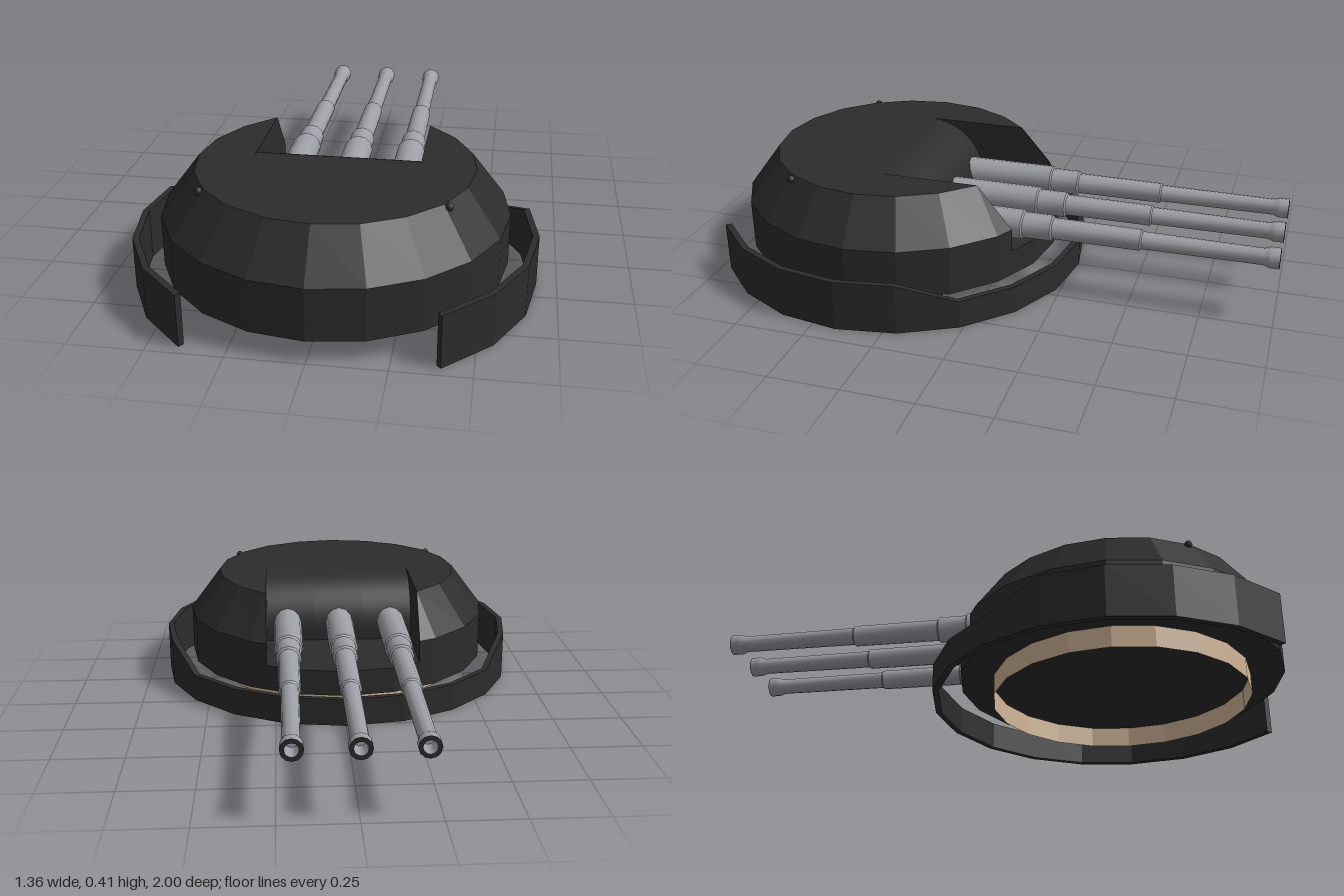
import * as THREE from 'three';
import { toCreasedNormals } from 'three/addons/utils/BufferGeometryUtils.js';

const SIDES = 20, CZ = 0.413;             // facets and axis of the turret
const BAY = 0.28, FLOOR = 0.17, BACK = 0.41; // gun bay half width, floor, rear edge
const SHOULDER = 0.253, ROOF = 0.406, R = 0.583, R_ROOF = 0.467;

const armour = new THREE.MeshStandardMaterial({ color: 0x2c2c2c, side: THREE.DoubleSide });
armour.name = 'dark armour';
const steel = new THREE.MeshStandardMaterial({ color: 0x9c9fa5 });
steel.name = 'gun steel';
const tan = new THREE.MeshStandardMaterial({ color: 0xd2b698, side: THREE.DoubleSide });
tan.name = 'tan ring';

// Point k of a 20-sided ring, counted from the gun side (-z) towards +x
function ringPoint(k, r, y) {
  const a = (k / SIDES) * Math.PI * 2;
  return [r * Math.sin(a), y, CZ - r * Math.cos(a)];
}

// Joins neighbouring cross-sections with flat quads
function loft(sections, closed, caps) {
  const pos = [];
  const quad = (a, b, c, d) => pos.push(...a, ...b, ...c, ...a, ...c, ...d);
  for (let i = 0; i < sections.length - 1; i++) {
    const s = sections[i], t = sections[i + 1];
    const n = closed ? s.length : s.length - 1;
    for (let j = 0; j < n; j++) {
      const m = (j + 1) % s.length;
      quad(s[j], s[m], t[m], t[j]);
    }
  }
  if (caps) {
    const e = sections[sections.length - 1];
    quad(...[...sections[0]].reverse());
    quad(...e);
  }
  const g = new THREE.BufferGeometry();
  g.setAttribute('position', new THREE.Float32BufferAttribute(pos, 3));
  g.computeVertexNormals();
  return g;
}

function flat(g) {
  const f = g.toNonIndexed();
  f.computeVertexNormals();
  return f;
}

// Outline of the turret at one height, interrupted by the gun bay
function bayOutline(r, y) {
  const a = ringPoint(1, r, y), b = ringPoint(2, r, y);
  const t = Math.min(1, (BAY - a[0]) / (b[0] - a[0]));
  const edgeZ = a[2] + (b[2] - a[2]) * t;
  const pts = [[BAY, y, edgeZ]];
  for (let k = 2; k <= 18; k++) {
    const p = ringPoint(k, r, y);
    if (k === 2 || k === 18) p[0] = Math.sign(p[0]) * Math.max(Math.abs(p[0]), BAY);
    pts.push(p);
  }
  pts.push([-BAY, y, edgeZ]);
  return pts;
}

export function createModel() {
  const model = new THREE.Group();
  const add = (name, geometry, material, parent = model) => {
    const mesh = new THREE.Mesh(geometry, material);
    mesh.name = name;
    parent.add(mesh);
    return mesh;
  };

  // Open base ring
  add('baseRing', flat(new THREE.CylinderGeometry(0.463, 0.463, 0.078, SIDES, 1, true)), tan)
    .position.set(0, 0.039, CZ);

  // Full drum under the gun bay; its top is the bay floor
  add('lowerDrum', flat(new THREE.CylinderGeometry(R, R, FLOOR - 0.076, SIDES)), armour)
    .position.set(0, (FLOOR + 0.076) / 2, CZ);

  // Upper walls and sloped shoulder, open at the bay
  const low = bayOutline(R, FLOOR), mid = bayOutline(R, SHOULDER), top = bayOutline(R_ROOF, ROOF);
  add('upperWalls', loft(low.map((p, i) => [p, mid[i], top[i]]), false), armour);

  // Roof plate with a notch for the bay
  const roof = new THREE.Shape(top.slice(1, -1).map(p => new THREE.Vector2(p[0], -p[2])));
  roof.lineTo(-BAY, -BACK);
  roof.lineTo(BAY, -BACK);
  roof.closePath();
  add('roof', new THREE.ShapeGeometry(roof).rotateX(-Math.PI / 2), armour).position.y = ROOF;

  // Side walls of the bay
  const cheek = new THREE.Shape([
    [BACK, FLOOR], [BACK, ROOF], [top[0][2], ROOF], [mid[0][2], SHOULDER], [low[0][2], FLOOR],
  ].map(p => new THREE.Vector2(...p)));
  for (const s of [1, -1]) {
    add('bayWall', new THREE.ShapeGeometry(cheek).rotateY(-Math.PI / 2), armour).position.x = s * BAY;
  }

  // Rounded gun hood profile (z, y)
  const hoodR = 0.215, hoodW = (2 * BAY) / 3;
  const hood = new THREE.Shape();
  hood.moveTo(BACK, FLOOR);
  hood.lineTo(BACK, ROOF);
  hood.absarc(BACK, ROOF - hoodR, hoodR, Math.PI / 2, Math.PI, false);
  hood.lineTo(BACK - hoodR, FLOOR);
  const hoodGeo = toCreasedNormals(new THREE.ExtrudeGeometry(hood,
    { depth: hoodW, bevelEnabled: false, curveSegments: 10 }).rotateY(-Math.PI / 2), 0.5);

  // Stepped barrel: radius, distance forward
  const profile = [[0.053, -0.23], [0.053, 0.11], [0.046, 0.115], [0.046, 0.215], [0.038, 0.22],
    [0.037, 0.53], [0.031, 0.535], [0.029, 0.945], [0.036, 0.965], [0.036, 0.998]];
  const lathe = pts => toCreasedNormals(new THREE.LatheGeometry(
    pts.map(p => new THREE.Vector2(...p)), 12).rotateX(-Math.PI / 2), 0.6);
  const barrelGeo = lathe(profile);
  const muzzleGeo = lathe([[0.036, 0.998], [0.036, 1], [0.022, 1]]);
  const boreGeo = lathe([[0.022, 1], [0.022, 0.93], [0, 0.93]]);
  for (const i of [-1, 0, 1]) {
    add('gunHood', hoodGeo, armour).position.x = i * hoodW + hoodW / 2;
    const gun = new THREE.Group();
    gun.name = 'gun';
    gun.position.set(i * 0.2, 0.239, 0);
    add('barrel', barrelGeo, steel, gun);
    add('muzzleRim', muzzleGeo, armour, gun);
    add('bore', boreGeo, steel, gun);
    model.add(gun);
  }

  // Curved outer screen, lower around the guns and open at the back
  const screen = [];
  for (let k = -8; k <= 8; k++) {
    const h = Math.abs(k) >= 4 ? 0.18 : 0.1;
    screen.push([ringPoint(k, 0.66, 0), ringPoint(k, 0.66, h),
      ringPoint(k, 0.682, h), ringPoint(k, 0.682, 0)].reverse());
  }
  add('outerScreen', loft(screen, true, true), armour);

  // Small sight knobs on the rear shoulder
  for (const s of [1, -1]) {
    add('sightKnob', new THREE.SphereGeometry(0.014, 8, 6), armour).position.set(s * 0.395, 0.396, 0.683);
  }
  return model;
}
